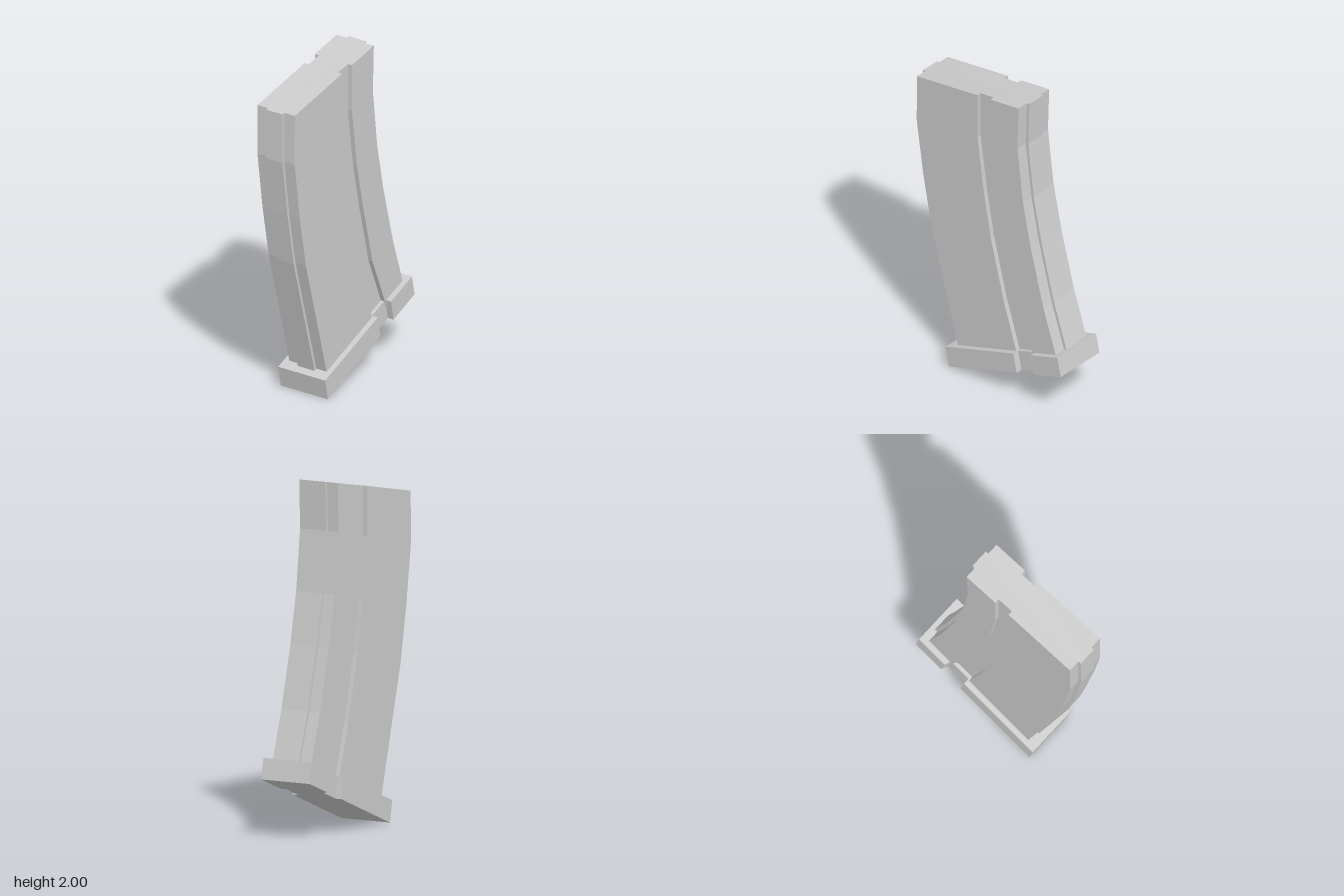
import * as THREE from 'three';

const material = new THREE.MeshStandardMaterial({ color: 0xcccccc, flatShading: true });

// Skins a stack of matching rings (bottom to top, counter-clockwise from above) and caps both ends.
function loft(rings, name) {
  const pos = [];
  const tri = (a, b, c) => pos.push(...a, ...b, ...c);
  for (let s = 0; s < rings.length - 1; s++) {
    const lo = rings[s], hi = rings[s + 1], n = lo.length;
    for (let i = 0; i < n; i++) {
      const j = (i + 1) % n;
      tri(lo[i], lo[j], hi[j]);
      tri(lo[i], hi[j], hi[i]);
    }
  }
  const cap = (ring, up) => {
    const contour = ring.map(([x, , z]) => new THREE.Vector2(x, -z));
    for (const [a, b, c] of THREE.ShapeUtils.triangulateShape(contour, [])) {
      if (up) tri(ring[a], ring[b], ring[c]);
      else tri(ring[a], ring[c], ring[b]);
    }
  };
  cap(rings[0], false);
  cap(rings[rings.length - 1], true);

  const geometry = new THREE.BufferGeometry();
  geometry.setAttribute('position', new THREE.Float32BufferAttribute(pos, 3));
  geometry.computeVertexNormals();
  const mesh = new THREE.Mesh(geometry, material);
  mesh.name = name;
  return mesh;
}

// Completes a front half outline with its reflection in z.
const mirrorZ = (half) => [...half, ...half.slice().reverse().map(([x, y, z]) => [x, y, -z])];

// One slanted body section: edge ribs at both ends and a groove on each flat side.
function bodyRing([left, grooveA, grooveB, right]) {
  const rib = 0.018, ribZ = 0.057, side = 0.128, grooveZ = 0.1;
  const slope = (right[1] - left[1]) / (right[0] - left[0]);
  const leftIn = [left[0] + rib, left[1] + rib * slope];
  const rightIn = [right[0] - rib, right[1] - rib * slope];
  return mirrorZ([
    [...left, ribZ], [...leftIn, ribZ], [...leftIn, side],
    [...grooveA, side], [...grooveA, grooveZ], [...grooveB, grooveZ], [...grooveB, side],
    [...rightIn, side], [...rightIn, ribZ], [...right, ribZ],
  ]);
}

// One base plate section between two end points, notched on both sides.
function baseRing([x0, y0], [x1, y1]) {
  const side = 0.162, notchZ = 0.122;
  const at = (t, z) => [x0 + (x1 - x0) * t, y0 + (y1 - y0) * t, z];
  const ring = mirrorZ([
    at(0, side), at(0.606, side), at(0.606, notchZ),
    at(0.758, notchZ), at(0.758, side), at(1, side),
  ]);
  ring[7] = at(0.777, -side); // bevelled notch edge on the back
  return ring;
}

export function createModel() {
  const group = new THREE.Group();
  group.name = 'curvedMagazine';

  // Body sections, bottom to top: left edge, groove start, groove end, right edge
  const sections = [
    [[-0.25, 0.1], [0.217, 0.27], [0.348, 0.32], [0.535, 0.39]],
    [[-0.36, 0.5], [0.105, 0.62], [0.207, 0.66], [0.425, 0.72]],
    [[-0.465, 0.88], [0.008, 1.0], [0.113, 1.04], [0.33, 1.08]],
    [[-0.525, 1.2], [-0.045, 1.29], [0.055, 1.31], [0.27, 1.37]],
    [[-0.575, 1.55], [-0.095, 1.65], [0.005, 1.67], [0.228, 1.72]],
    [[-0.572, 1.85], [-0.095, 1.94], [0.005, 1.957], [0.237, 2.0]],
  ];
  group.add(loft(sections.map(bodyRing), 'body'));

  // Tilted base plate
  group.add(loft([
    baseRing([-0.28, 0], [0.57, 0.33]),
    baseRing([-0.305, 0.125], [0.545, 0.45]),
  ], 'basePlate'));

  return group;
}
